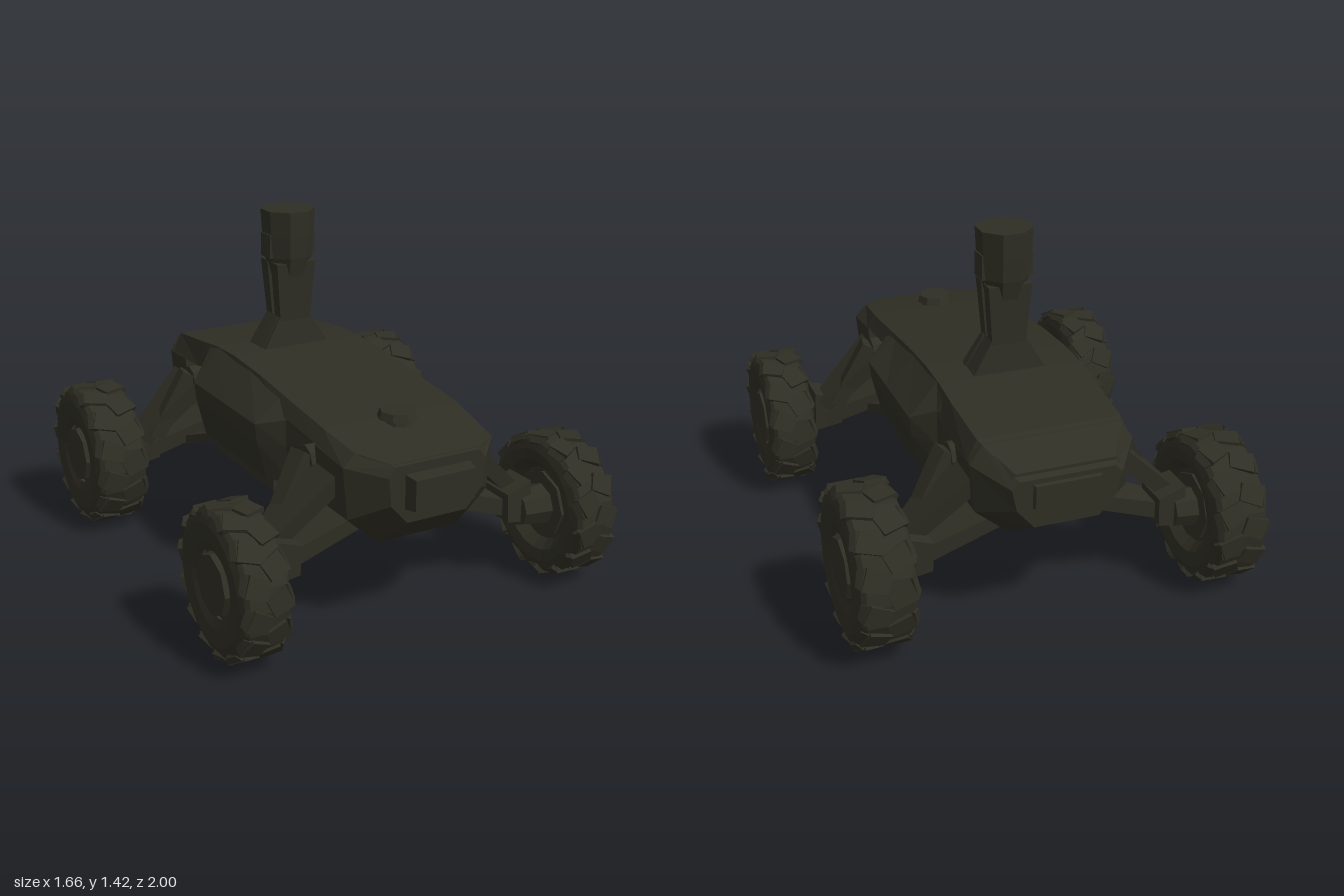
import * as THREE from 'three';

const paint = new THREE.MeshStandardMaterial({ color: 0x2f2e24 });
paint.name = 'darkOlive';

// Faceted mesh with hard edges
function part(name, geometry, parent) {
  const g = geometry.index ? geometry.toNonIndexed() : geometry;
  g.computeVertexNormals();
  const mesh = new THREE.Mesh(g, paint);
  mesh.name = name;
  parent.add(mesh);
  return mesh;
}

function box(name, parent, w, h, d, x, y, z) {
  const mesh = part(name, new THREE.BoxGeometry(w, h, d), parent);
  mesh.position.set(x, y, z);
  return mesh;
}

// Closed solid through equal-length rings of Vector3, wound outwards
function loft(rings) {
  const n = rings[0].length, tris = [];
  for (let r = 0; r < rings.length - 1; r++) {
    for (let i = 0; i < n; i++) {
      const j = (i + 1) % n, A = rings[r], B = rings[r + 1];
      tris.push([A[i], A[j], B[j]], [A[i], B[j], B[i]]);
    }
  }
  const first = rings[0], last = rings[rings.length - 1];
  for (let i = 1; i < n - 1; i++) {
    tris.push([first[0], first[i + 1], first[i]], [last[0], last[i], last[i + 1]]);
  }
  let volume = 0;
  const c = new THREE.Vector3();
  for (const [a, b, d] of tris) volume += a.dot(c.crossVectors(b, d));
  const pts = tris.flatMap(([a, b, d]) => (volume < 0 ? [a, d, b] : [a, b, d]));
  return new THREE.BufferGeometry().setFromPoints(pts);
}

// Ring at one z from right-hand half points, mirrored in x
function ring(z, half) {
  const right = half.map(([x, y]) => new THREE.Vector3(x, y, z));
  const left = half.map(([x, y]) => new THREE.Vector3(-x, y, z)).reverse();
  return [...right, ...left];
}

// Tapered bar from a to b; sizes are [across, up] at each end
function bar(name, parent, a, b, sizeA, sizeB = sizeA) {
  const p = new THREE.Vector3(...a), q = new THREE.Vector3(...b);
  const dir = q.clone().sub(p).normalize();
  const ref = Math.abs(dir.y) > 0.95 ? new THREE.Vector3(0, 0, 1) : new THREE.Vector3(0, 1, 0);
  const side = new THREE.Vector3().crossVectors(dir, ref).normalize();
  const up = new THREE.Vector3().crossVectors(side, dir);
  const end = (o, [w, h]) => [[1, 1], [-1, 1], [-1, -1], [1, -1]].map(([u, v]) =>
    o.clone().addScaledVector(side, u * w / 2).addScaledVector(up, v * h / 2));
  return part(name, loft([end(p, sizeA), end(q, sizeB)]), parent);
}

function buildBody(root) {
  const body = new THREE.Group();
  body.name = 'body';
  root.add(body);

  // Wide middle hull with bevelled shoulders, narrowing towards the wheel bays
  const mid = (top) => [[0.3, top], [0.42, 0.7], [0.41, 0.62], [0.37, 0.46]];
  part('centreHull', loft([
    ring(0.49, [[0.28, 0.765], [0.29, 0.74], [0.28, 0.66], [0.24, 0.52]]),
    ring(0.36, [[0.3, 0.78], [0.33, 0.73], [0.33, 0.62], [0.3, 0.46]]),
    ring(0.27, mid(0.795)), ring(0, mid(0.825)), ring(-0.3, mid(0.835)),
    ring(-0.38, [[0.3, 0.82], [0.33, 0.75], [0.33, 0.6], [0.3, 0.46]]),
    ring(-0.5, [[0.28, 0.79], [0.29, 0.74], [0.28, 0.66], [0.24, 0.52]]),
  ]), body);
  box('skidPlate', body, 0.68, 0.07, 0.52, 0, 0.433, 0.01);
  box('spine', body, 0.36, 0.2, 1.26, 0, 0.51, 0);

  // Deck running the whole length: z, half width, top, lower half width, bottom
  part('deck', loft([
    [0.91, 0.19, 0.715, 0.2, 0.69], [0.8, 0.28, 0.74, 0.33, 0.69], [0.6, 0.3, 0.773, 0.33, 0.715],
    [0.36, 0.3, 0.797, 0.33, 0.735], [0.08, 0.3, 0.828, 0.32, 0.77], [-0.15, 0.3, 0.842, 0.32, 0.77],
    [-0.32, 0.3, 0.836, 0.33, 0.75], [-0.45, 0.3, 0.82, 0.33, 0.715], [-0.72, 0.29, 0.785, 0.33, 0.7],
    [-0.88, 0.2, 0.705, 0.22, 0.67],
  ].map(([z, w, y, wl, yl]) => ring(z, [[w, y], [wl, yl]]))), body);

  // Nose and tail pods
  part('nosePod', loft([
    ring(0.59, [[0.29, 0.76], [0.33, 0.71], [0.31, 0.48], [0.18, 0.37]]),
    ring(0.8, [[0.28, 0.735], [0.33, 0.69], [0.31, 0.48], [0.18, 0.36]]),
    ring(0.925, [[0.18, 0.71], [0.21, 0.67], [0.2, 0.56], [0.13, 0.48]]),
  ]), body);
  part('tailPod', loft([
    ring(-0.59, [[0.29, 0.79], [0.33, 0.71], [0.31, 0.5], [0.18, 0.39]]),
    ring(-0.75, [[0.28, 0.775], [0.33, 0.7], [0.31, 0.5], [0.18, 0.39]]),
    ring(-0.9, [[0.19, 0.68], [0.22, 0.65], [0.2, 0.56], [0.13, 0.48]]),
  ]), body);
  bar('noseBox', body, [0, 0.605, 0.88], [0, 0.605, 0.98], [0.3, 0.15], [0.26, 0.12]);
  bar('tailPlate', body, [0, 0.61, -0.88], [0, 0.61, -0.912], [0.3, 0.12], [0.26, 0.09]);

  // Round sensor puck on the nose deck
  const foot = part('puckFoot', new THREE.CylinderGeometry(0.045, 0.06, 0.05, 8), body);
  foot.position.set(0, 0.775, 0.65);
  const puck = part('puck', new THREE.CylinderGeometry(0.07, 0.08, 0.03, 8), body);
  puck.position.set(-0.005, 0.797, 0.65);
}

function buildMast(root) {
  const mast = new THREE.Group();
  mast.name = 'mast';
  mast.position.z = -0.235;
  root.add(mast);

  // Flared foot, twin posts with a slit between them, and the eight-sided head
  bar('mastFoot', mast, [0, 0.82, 0], [0, 0.97, 0], [0.32, 0.15], [0.14, 0.12]);
  for (const s of [-1, 1]) {
    bar('mastPost', mast, [0, 0.95, s * 0.037], [0, 1.2, s * 0.045], [0.14, 0.05], [0.18, 0.06]);
    bar('mastBrace', mast, [s * 0.14, 0.83, 0.04], [s * 0.065, 0.96, 0.03], [0.03, 0.03]);
  }
  box('postBridge', mast, 0.12, 0.06, 0.07, 0, 0.99, 0);
  const headRing = (y, r) => Array.from({ length: 8 }, (_, i) => {
    const a = (i + 0.5) * Math.PI / 4;
    return new THREE.Vector3(Math.cos(a) * r, y, Math.sin(a) * r);
  });
  part('mastHead', loft([headRing(1.13, 0.075), headRing(1.22, 0.1), headRing(1.31, 0.108), headRing(1.418, 0.114)]), mast);
  for (const s of [-1, 1]) box('headPad', mast, 0.02, 0.1, 0.08, s * 0.096, 1.27, 0);
}

// Wheel along x, outer face towards +x
function buildWheel(radius, width) {
  const wheel = new THREE.Group();
  wheel.name = 'wheel';
  const w = width / 2, r = radius;
  const profile = [[0.15, 0.05 - w], [0.19, 0.01 - w], [r * 0.8, -w], [r * 0.92, 0.012 - w], [r * 0.975, -w * 0.75],
    [r * 0.975, w * 0.75], [r * 0.92, w - 0.012], [r * 0.8, w], [0.17, w - 0.006], [0.13, w - 0.02]];
  const tyre = new THREE.LatheGeometry(profile.map(([a, b]) => new THREE.Vector2(a, b)), 20);
  tyre.rotateZ(-Math.PI / 2);
  part('tyre', tyre, wheel);
  const rim = part('rimDisc', new THREE.CylinderGeometry(0.12, 0.14, width - 0.04, 8).rotateZ(-Math.PI / 2), wheel);
  rim.position.x = 0.015;
  part('rimBack', new THREE.CylinderGeometry(0.16, 0.16, width - 0.1, 10).rotateZ(-Math.PI / 2), wheel);

  // Staggered slanted tread blocks, worn low and bent over the shoulders
  const count = 14;
  for (let i = 0; i < count; i++) {
    for (const s of [-1, 1]) {
      const holder = new THREE.Group();
      holder.name = 'treadBlock';
      holder.rotation.x = (i + s * 0.25) * Math.PI * 2 / count;
      wheel.add(holder);
      bar('lug', holder, [s * w * 0.78, r * 0.955, 0.015], [0, r * 0.96, -0.02], [0.085, 0.026], [0.07, 0.024]);
      bar('shoulderLug', holder, [s * w * 0.74, r * 0.953, 0.015], [s * (w - 0.008), r * 0.885, 0.02], [0.085, 0.026], [0.06, 0.02]);
    }
  }
  return wheel;
}

// Suspension for the left side; f is 1 at the front and -1 at the back
function buildCorner(f, axleZ, axleY, radius, width) {
  const corner = new THREE.Group();
  corner.name = 'wheelCorner';
  const wheel = buildWheel(radius, width);
  wheel.position.set(0.825 - width / 2, axleY, axleZ);
  corner.add(wheel);

  const z = f * 0.61;
  bar('lowerArm', corner, [0.2, 0.42, z], [0.54, 0.3, f * 0.64], [0.2, 0.06], [0.12, 0.07]);
  bar('upperArm', corner, [0.29, 0.62, f * 0.6], [0.55, 0.37, f * 0.61], [0.27, 0.07], [0.12, 0.06]);
  bar('damper', corner, [0.34, 0.66, f * 0.53], [0.5, 0.38, f * 0.56], [0.08, 0.08], [0.06, 0.06]);
  bar('trailingArm', corner, [0.25, 0.44, f * 0.28], [0.34, 0.34, f * 0.56], [0.05, 0.04]);
  bar('hubBlock', corner, [0.47, 0.33, f * 0.66], [0.59, 0.335, f * 0.66], [0.16, 0.12], [0.14, 0.18]);
  const mount = part('damperMount', new THREE.CylinderGeometry(0.06, 0.06, 0.1, 8).rotateZ(Math.PI / 2), corner);
  mount.position.set(0.29, 0.63, f * 0.53);
  const axle = part('axle', new THREE.CylinderGeometry(0.07, 0.09, 0.14, 8).rotateZ(Math.PI / 2), corner);
  axle.position.set(0.61, axleY, axleZ);
  return corner;
}

export function createModel() {
  const model = new THREE.Group();
  model.name = 'rover';
  buildBody(model);
  buildMast(model);

  // Side, axle z, axle y, radius, width; right corners are left ones turned half round
  const corners = [
    [1, 0.702, 0.301, 0.293, 0.2], [-1, 0.702, 0.3, 0.293, 0.2],
    [1, -0.682, 0.328, 0.314, 0.23], [-1, -0.695, 0.31, 0.305, 0.23],
  ];
  for (const [side, z, y, r, w] of corners) {
    const corner = buildCorner(Math.sign(z) * side, z * side, y, r, w);
    corner.rotation.y = side > 0 ? 0 : Math.PI;
    model.add(corner);
  }
  return model;
}
